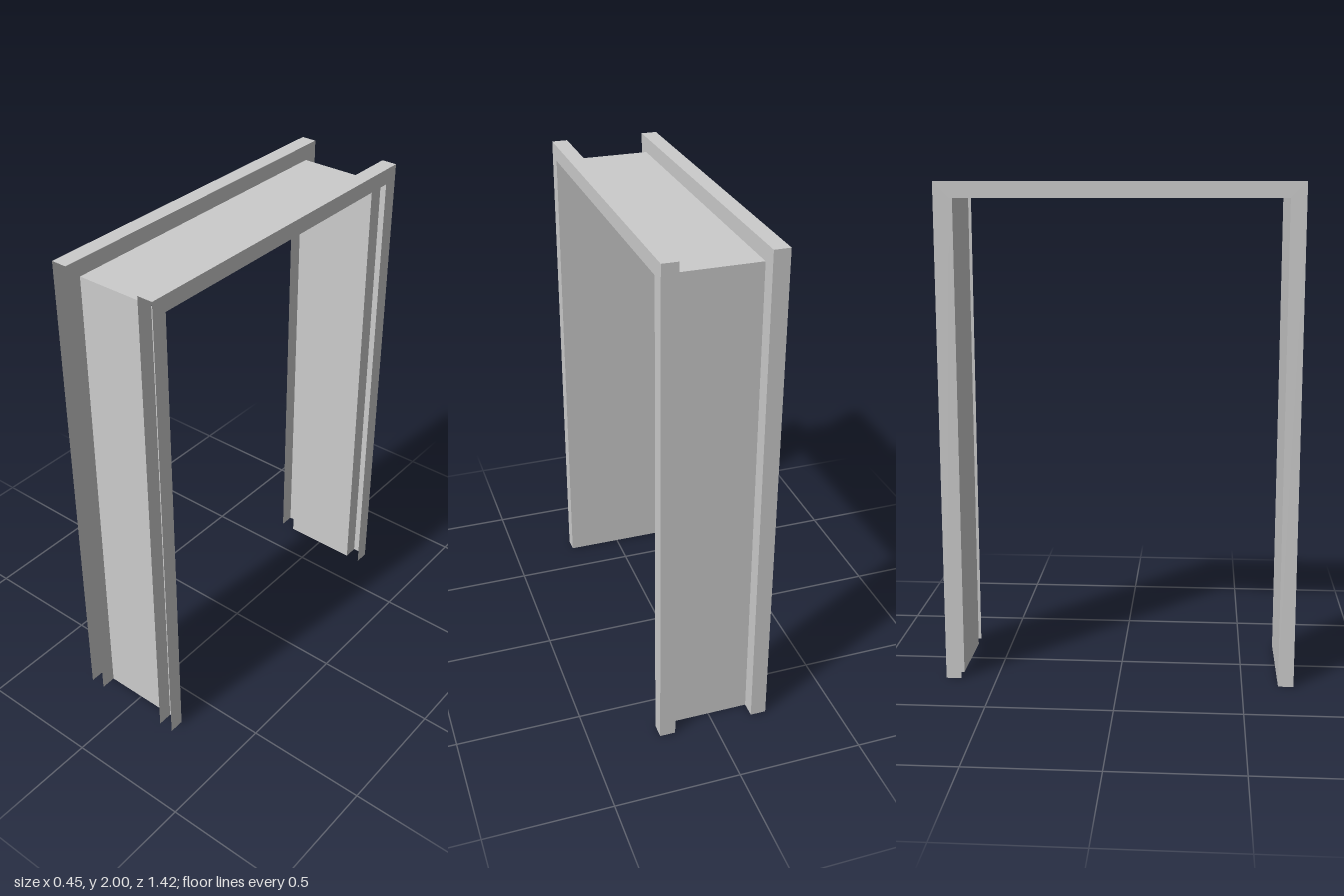
import * as THREE from 'three';

// Folded sheet frame: two jambs and a header, each a web between two narrow rails
const H = 2, SOFFIT = 1.937;      // outer and inner height
const ZO = 0.708, ZI = 0.646;     // outer and inner depth
const XO = 0.225, XI = 0.162;     // outer and inner edge of each rail

const material = new THREE.MeshStandardMaterial({ color: 0xcccccc, side: THREE.DoubleSide });

export function createModel() {
  const group = new THREE.Group();

  function add(name, geometry) {
    const mesh = new THREE.Mesh(geometry, material);
    mesh.name = name;
    group.add(mesh);
    return mesh;
  }

  // upright sheet facing along z
  function upright(name, x0, x1, height, z) {
    const m = add(name, new THREE.PlaneGeometry(x1 - x0, height));
    m.position.set((x0 + x1) / 2, height / 2, z);
    if (z < 0) m.rotation.y = Math.PI;
  }

  // level sheet facing up
  function level(name, x0, x1, y, depth) {
    const m = add(name, new THREE.PlaneGeometry(x1 - x0, 2 * depth));
    m.rotation.x = -Math.PI / 2;
    m.position.set((x0 + x1) / 2, y, 0);
  }

  // webs of the jambs and header
  upright('frontJambWeb', -XI, XI, SOFFIT, ZI);
  upright('backJambWeb', -XI, XI, SOFFIT, -ZI);
  level('headerWeb', -XI, XI, SOFFIT, ZI);

  // U-shaped side sheet running up one jamb, over the header and down the other
  const outline = new THREE.Shape([
    [-ZO, 0], [-ZI, 0], [-ZI, SOFFIT], [ZI, SOFFIT],
    [ZI, 0], [ZO, 0], [ZO, H], [-ZO, H],
  ].map(([z, y]) => new THREE.Vector2(z, y)));
  const sideGeometry = new THREE.ShapeGeometry(outline);

  for (const side of [-1, 1]) {
    const label = side > 0 ? 'left' : 'right';
    for (const [part, x] of [['OuterSide', XO], ['InnerSide', XI]]) {
      const m = add(label + part, sideGeometry);
      m.rotation.y = Math.PI / 2;
      m.position.x = side * x;
    }
    // strips joining the two side sheets of the rail
    const x0 = side > 0 ? XI : -XO, x1 = side > 0 ? XO : -XI;
    upright(label + 'FrontStrip', x0, x1, SOFFIT, ZI);
    upright(label + 'BackStrip', x0, x1, H, -ZO);
    level(label + 'TopStrip', x0, x1, H, ZO);
  }
  return group;
}
